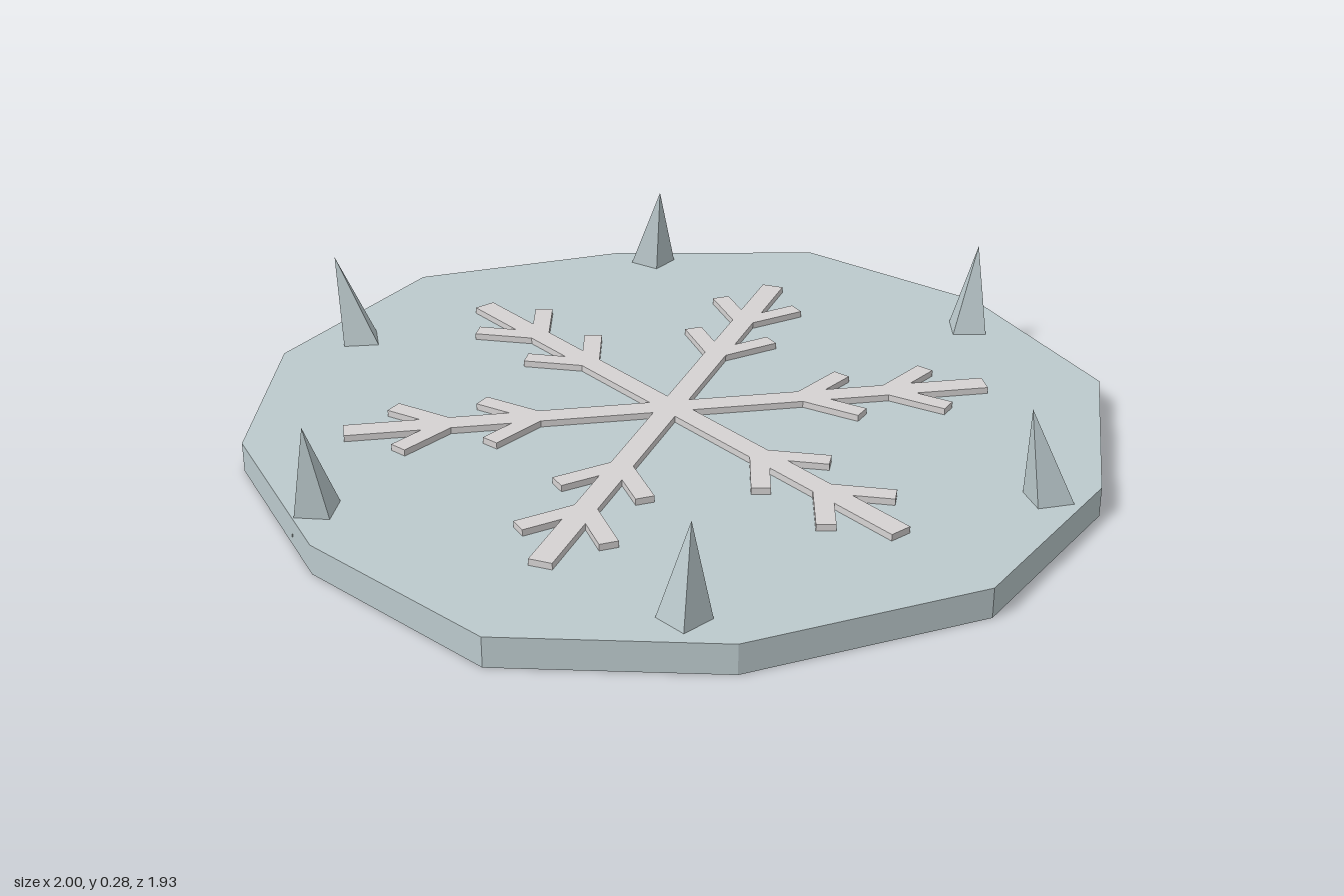
import * as THREE from 'three';

const ice = new THREE.MeshStandardMaterial({ color: 0xbccacd, flatShading: true });
ice.name = 'pale ice';
const frost = new THREE.MeshStandardMaterial({ color: 0xd6d3d3, flatShading: true });
frost.name = 'frost grey';

const TOP = 0.068; // upper face of the slab

// Flat outline (x, z) raised into a plate between two heights
function plate(points, y0, y1, material, name) {
  const shape = new THREE.Shape(points.map(([x, z]) => new THREE.Vector2(x, -z)));
  const geo = new THREE.ExtrudeGeometry(shape, { depth: y1 - y0, bevelEnabled: false });
  geo.rotateX(-Math.PI / 2);
  const mesh = new THREE.Mesh(geo, material);
  mesh.position.y = y0;
  mesh.name = name;
  return mesh;
}

// One side of a snowflake arm along +x, from the hub to the tip
function armSide() {
  const w = 0.026, u = 0.021, t = 0.7, len = 0.155, end = 0.733;
  const c = Math.cos(t), s = Math.sin(t);
  const pts = [[w / Math.tan(Math.PI / 6), w]];
  for (const b of [0.3, 0.5]) {
    const root = b + w / Math.tan(t);
    pts.push([root - u / s, w]);
    pts.push([b + len * c - u * s, len * s + u * c]);
    pts.push([b + len * c + u * s, len * s - u * c]);
    pts.push([root + u / s, w]);
  }
  pts.push([end, w]);
  return pts;
}

// Whole snowflake outline: six mirrored arms around the hub
function snowflakeOutline(cx, cz) {
  const side = armSide();
  const arm = [...side.map(([x, y]) => [x, -y]), ...side.slice(1).reverse()];
  const out = [];
  for (let i = 0; i < 6; i++) {
    const a = (i * Math.PI) / 3, c = Math.cos(a), s = Math.sin(a);
    for (const [x, y] of arm) out.push([cx + x * c - y * s, cz + x * s + y * c]);
  }
  return out;
}

// Four-sided spike leaning from its base centre to its apex
function spike([bx, bz, ax, az, turn]) {
  const base = new THREE.Vector3(bx, 0.032, bz);
  const axis = new THREE.Vector3(ax, 0.28, az).sub(base);
  const h = axis.length();
  const geo = new THREE.ConeGeometry(0.065, h, 4);
  geo.translate(0, h / 2, 0);
  geo.rotateY(THREE.MathUtils.degToRad(-turn));
  const mesh = new THREE.Mesh(geo, ice);
  mesh.quaternion.setFromUnitVectors(new THREE.Vector3(0, 1, 0), axis.normalize());
  mesh.position.copy(base);
  mesh.name = 'iceSpike';
  return mesh;
}

export function createModel() {
  const model = new THREE.Group();
  model.name = 'icePlatform';

  // Irregular twelve-sided slab
  const rim = [
    [0.01, -0.97], [0.52, -0.85], [0.865, -0.455], [1, 0.02], [0.835, 0.535], [0.51, 0.89],
    [0.01, 0.96], [-0.47, 0.845], [-0.82, 0.535], [-1, 0.02], [-0.81, -0.465], [-0.485, -0.865],
  ];
  model.add(plate(rim, 0, TOP, ice, 'slab'));

  // Raised snowflake
  model.add(plate(snowflakeOutline(0.01, 0.02), TOP - 0.01, 0.083, frost, 'snowflake'));

  // Spikes: base x, base z, apex x, apex z, turn in degrees
  const spikes = new THREE.Group();
  spikes.name = 'iceSpikes';
  for (const s of [
    [0.115, -0.83, 0.12, -0.85, -6],
    [0.825, -0.34, 0.8, -0.29, -22],
    [0.7, 0.555, 0.71, 0.545, 42],
    [-0.113, 0.868, -0.08, 0.908, 0],
    [-0.77, 0.345, -0.81, 0.385, -15],
    [-0.715, -0.51, -0.65, -0.485, 30],
  ]) spikes.add(spike(s));
  model.add(spikes);

  return model;
}
